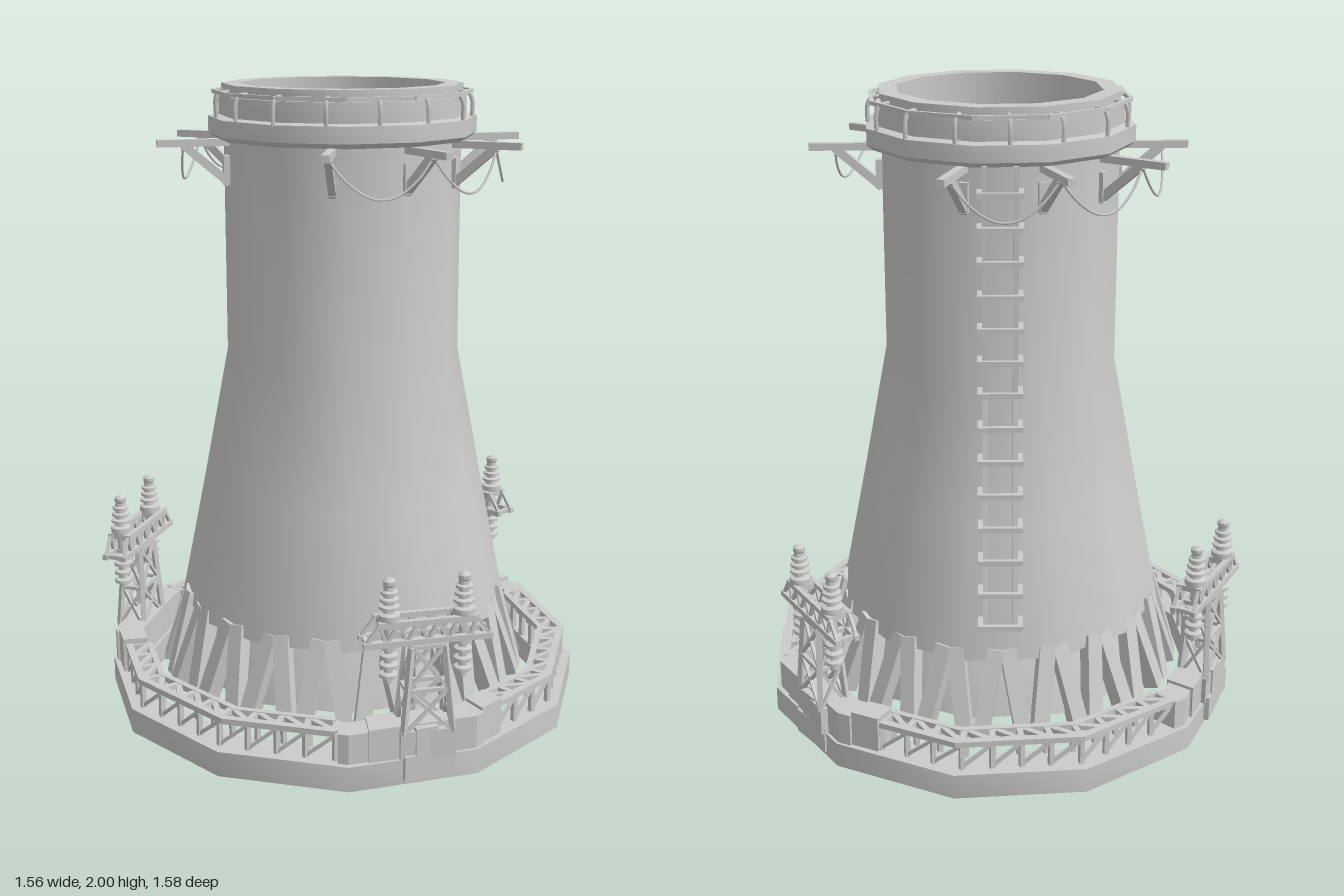
import * as THREE from 'three';
import { toCreasedNormals } from 'three/addons/utils/BufferGeometryUtils.js';

const D = Math.PI / 180;
const smooth = new THREE.MeshStandardMaterial({ color: 0xcccccc });
const flat = new THREE.MeshStandardMaterial({ color: 0xcccccc, flatShading: true });
const V = (x, y, z) => new THREE.Vector3(x, y, z);
const OFF = -3; // turn of the twelve-sided plan, degrees

// point at polar angle t (degrees) on the twelve-sided plan with corner radius r
function plan(r, t) {
  const k = ((((t - OFF) % 30) + 30) % 30) - 15;
  const q = r * Math.cos(15 * D) / Math.cos(k * D);
  return [q * Math.cos(t * D), q * Math.sin(t * D)];
}
const planAt = (r, t, y) => { const [x, s] = plan(r, t); return V(x, y, -s); };

function add(parent, name, geo, mat = flat) {
  const m = new THREE.Mesh(geo, mat);
  m.name = name;
  parent.add(m);
  return m;
}
function box(parent, name, w, h, d, x, y, z) {
  const m = add(parent, name, new THREE.BoxGeometry(w, h, d));
  m.position.set(x, y, z);
}
// straight bar from a to b, its height turned towards up
function bar(parent, name, a, b, w, h = w, up = V(0, 1, 0)) {
  const m = add(parent, name, new THREE.BoxGeometry(w, h, a.distanceTo(b)));
  m.position.copy(a).add(b).multiplyScalar(0.5);
  m.quaternion.setFromRotationMatrix(new THREE.Matrix4().lookAt(a, b, up));
}
// group turned so that local x points outwards at angle t
function spoke(parent, name, t) {
  const g = new THREE.Group();
  g.name = name;
  g.rotation.y = t * D;
  parent.add(g);
  return g;
}
// arc of a twelve-sided band
function sector(parent, name, r0, r1, t0, t1, y, h) {
  const ts = [t0];
  for (let t = Math.ceil((t0 - OFF + 0.01) / 30) * 30 + OFF; t < t1 - 0.01; t += 30) ts.push(t);
  ts.push(t1);
  const pts = [...ts.map(t => plan(r1, t)), ...ts.reverse().map(t => plan(r0, t))];
  const geo = new THREE.ExtrudeGeometry(new THREE.Shape(pts.map(p => new THREE.Vector2(...p))),
    { depth: h, bevelEnabled: false });
  geo.rotateX(-Math.PI / 2);
  geo.translate(0, y, 0);
  add(parent, name, geo);
}
function lathe(parent, name, pts, n) {
  const geo = new THREE.LatheGeometry(pts.map(p => new THREE.Vector2(...p)), n);
  return add(parent, name, toCreasedNormals(geo, 0.65), smooth);
}

// stacked-disc insulator
function insulator(parent, x, z) {
  const pts = [[0, 0.32], [0.014, 0.32]];
  for (let i = 0; i < 4; i++) {
    const y = 0.335 + i * 0.03;
    pts.push([0.014, y], [0.028, y + 0.003], [0.028, y + 0.013], [0.014, y + 0.018]);
  }
  pts.push([0.014, 0.51], [0.034, 0.515], [0.034, 0.535], [0.02, 0.54]);
  for (let i = 0; i < 3; i++) {
    const y = 0.55 + i * 0.022, r = 0.032 - i * 0.003;
    pts.push([0.018, y], [r, y + 0.003], [r, y + 0.011], [0.018, y + 0.015]);
  }
  pts.push([0.016, 0.62], [0.019, 0.625], [0.019, 0.637], [0.008, 0.645], [0, 0.645]);
  lathe(parent, 'insulator', pts, 10).position.set(x, 0, z);
}

// pylon with crossarm and two insulators, standing on solid blocks
function station(root, t) {
  const base = spoke(root, 'powerStation', t);
  box(base, 'cabinet', 0.04, 0.09, 0.07, 0.745, 0.135, 0.01);
  box(base, 'outerPlate', 0.02, 0.08, 0.16, 0.756, 0.055, 0);

  const g = spoke(base, 'pylon', -7);
  g.position.x = 0.715;
  box(g, 'footBlock', 0.1, 0.09, 0.17, 0, 0.125, 0);
  const corner = (i, j, k) => V(i * (0.045 - k * 0.015), 0.16 + k * 0.27, j * (0.075 - k * 0.025));
  const sides = [[1, 1], [1, -1], [-1, -1], [-1, 1]];
  sides.forEach(([i, j], n) => {
    const [p, q] = sides[(n + 1) % 4];
    bar(g, 'pylonLeg', corner(i, j, 0), corner(i, j, 1), 0.016);
    for (let s = 0; s < 2; s++) {
      bar(g, 'pylonBrace', corner(i, j, s / 2), corner(p, q, s / 2 + 0.5), 0.01);
      bar(g, 'pylonBrace', corner(p, q, s / 2), corner(i, j, s / 2 + 0.5), 0.01);
      bar(g, 'pylonTie', corner(i, j, s / 2 + 0.5), corner(p, q, s / 2 + 0.5), 0.012);
    }
  });
  for (const x of [-0.032, 0.032]) {
    bar(g, 'crossarmBottom', V(x, 0.45, -0.195), V(x, 0.45, 0.195), 0.018);
    bar(g, 'crossarmTop', V(x, 0.51, -0.15), V(x, 0.51, 0.15), 0.016);
    for (let i = 0; i < 6; i++) {
      const z = -0.19 + i * 0.0633, top = V(x, 0.51, (z + 0.032) * 0.92);
      bar(g, 'crossarmWeb', V(x, 0.45, z), top, 0.01);
      bar(g, 'crossarmWeb', top, V(x, 0.45, z + 0.0633), 0.01);
    }
  }
  for (let i = 0; i < 7; i++) box(g, 'crossarmTie', 0.06, 0.014, 0.014, 0, 0.45, -0.18 + i * 0.06);
  for (const s of [-1, 1]) {
    box(g, 'insulatorSeat', 0.075, 0.018, 0.06, 0, 0.507, s * 0.113);
    insulator(g, 0.008, s * 0.113);
  }
}

export function createModel() {
  const root = new THREE.Group();
  root.name = 'coolingTower';

  // hollow tower shell, recessed basin behind the legs, crown flange and base ring
  const rings = {
    towerShell: [[0.49, 0.33], [0.535, 0.33], [0.452, 0.74], [0.371, 1.16], [0.37, 1.985],
      [0.375, 1.985], [0.375, 2], [0.318, 2], [0.318, 1.2], [0.47, 0.37], [0, 0.37]],
    basin: [[0, 0.14], [0.555, 0.14], [0.495, 0.34]],
    flange: [[0.36, 1.835], [0.4, 1.835], [0.418, 1.85], [0.418, 1.9], [0.385, 1.905], [0.385, 1.965], [0.36, 1.965]],
    baseRing: [[0.665, 0], [0.779, 0], [0.779, 0.08], [0.665, 0.08], [0.665, 0]],
  };
  for (const name in rings) lathe(root, name, rings[name], 12).rotation.y = OFF * D;

  // railing of bent hooks around the crown
  const rim = [...Array(12)].map((_, i) => planAt(0.4, OFF + i * 30, 1.975));
  rim.forEach((p, i) => bar(root, 'crownRail', p, rim[(i + 1) % 12], 0.012));
  for (let i = 0; i < 16; i++) {
    const t = i * 22.5 + 4, r = planAt(0.412, t, 0).length();
    const path = new THREE.CatmullRomCurve3([V(r, 1.9, 0), V(r, 1.95, 0), V(r - 0.012, 1.973, 0), V(r - 0.045, 1.978, 0)]);
    add(spoke(root, 'crownHook', t), 'hook', new THREE.TubeGeometry(path, 8, 0.007, 5), smooth);
  }

  // outrigger arms with braces, joined by sagging cables
  const arms = [51, 87, 123, 159, 231, 267, 303, 340];
  arms.forEach((t, i) => {
    const g = spoke(root, 'outrigger', t);
    bar(g, 'arm', V(0.35, 1.825, 0), V(0.58, 1.825, 0), 0.024, 0.022);
    bar(g, 'brace', V(0.36, 1.7, 0), V(0.5, 1.82, 0), 0.022, 0.026);
    box(g, 'wallPlate', 0.02, 0.09, 0.03, 0.368, 1.74, 0);
    const gap = arms[i + 1] - t;
    if (!(gap < 40)) return;
    const at = (k, y) => V(0.5 * Math.cos((t + gap * k) * D), y, -0.5 * Math.sin((t + gap * k) * D));
    const pts = [0, 0.15, 0.35, 0.5, 0.65, 0.85, 1].map(k => at(k, 1.815 - 0.46 * k * (1 - k)));
    add(root, 'cable', new THREE.TubeGeometry(new THREE.CatmullRomCurve3(pts), 16, 0.004, 5), smooth);
  });

  // ladder following the wall
  const ladder = spoke(root, 'ladder', 67.5);
  const wall = y => (y > 1.16 ? 0.372 : 0.372 + (1.16 - y) * 0.193) + 0.03;
  for (const s of [-1, 1]) {
    bar(ladder, 'rail', V(wall(1.84), 1.84, s * 0.045), V(wall(1.16), 1.16, s * 0.045), 0.016);
    bar(ladder, 'rail', V(wall(1.16), 1.16, s * 0.045), V(wall(0.47), 0.47, s * 0.045), 0.016);
  }
  for (let i = 0; i < 14; i++) {
    const y = 1.76 - i * 0.1, r = wall(y);
    box(ladder, 'rung', 0.016, 0.016, 0.13, r + 0.016, y, 0);
    for (const s of [-1, 1]) box(ladder, 'standoff', 0.07, 0.016, 0.016, r - 0.012, y, s * 0.06);
  }

  // slanted V legs under the shell
  for (let i = 0; i < 20; i++) {
    const g = spoke(root, 'legPair', i * 18 + 5);
    for (const s of [-1, 1])
      bar(g, 'leg', V(0.578, 0.1, s * 0.025), V(0.498, 0.36, s * 0.062), 0.05, 0.05, V(1, 0, 0));
  }

  // three stations on solid blocks, with open truss walkways between
  for (const t of [16, 135, 255.5]) {
    sector(root, 'stationBlock', 0.675, 0.77, t - 14, t + 14, 0.08, 0.105);
    sector(root, 'stationEndBlock', 0.68, 0.762, t + 14, t + 21, 0.08, 0.115);
    sector(root, 'stationEndBlock', 0.68, 0.762, t - 21, t - 14, 0.08, 0.095);
    station(root, t);

    const a = t + 21, n = 11, step = 78 / n;
    sector(root, 'outerRail', 0.73, 0.754, a, a + 78, 0.16, 0.018);
    sector(root, 'innerRail', 0.664, 0.684, a, a + 78, 0.16, 0.018);
    for (let i = 0; i <= n; i++) {
      const u = a + i * step;
      bar(root, 'walkwayTie', planAt(0.674, u, 0.168), planAt(0.742, u, 0.168), 0.018, 0.016);
      for (const r of [0.674, 0.742])
        bar(root, 'walkwayPost', planAt(r, u, 0.075), planAt(r, u, 0.165), 0.015);
      if (i === n) continue;
      bar(root, 'walkwayBrace', planAt(0.742, u, 0.085), planAt(0.742, u + step, 0.16), 0.01);
      bar(root, 'walkwayDiagonal', planAt(0.674, u, 0.168), planAt(0.742, u + step, 0.168), 0.018, 0.016);
    }
  }
  return root;
}
